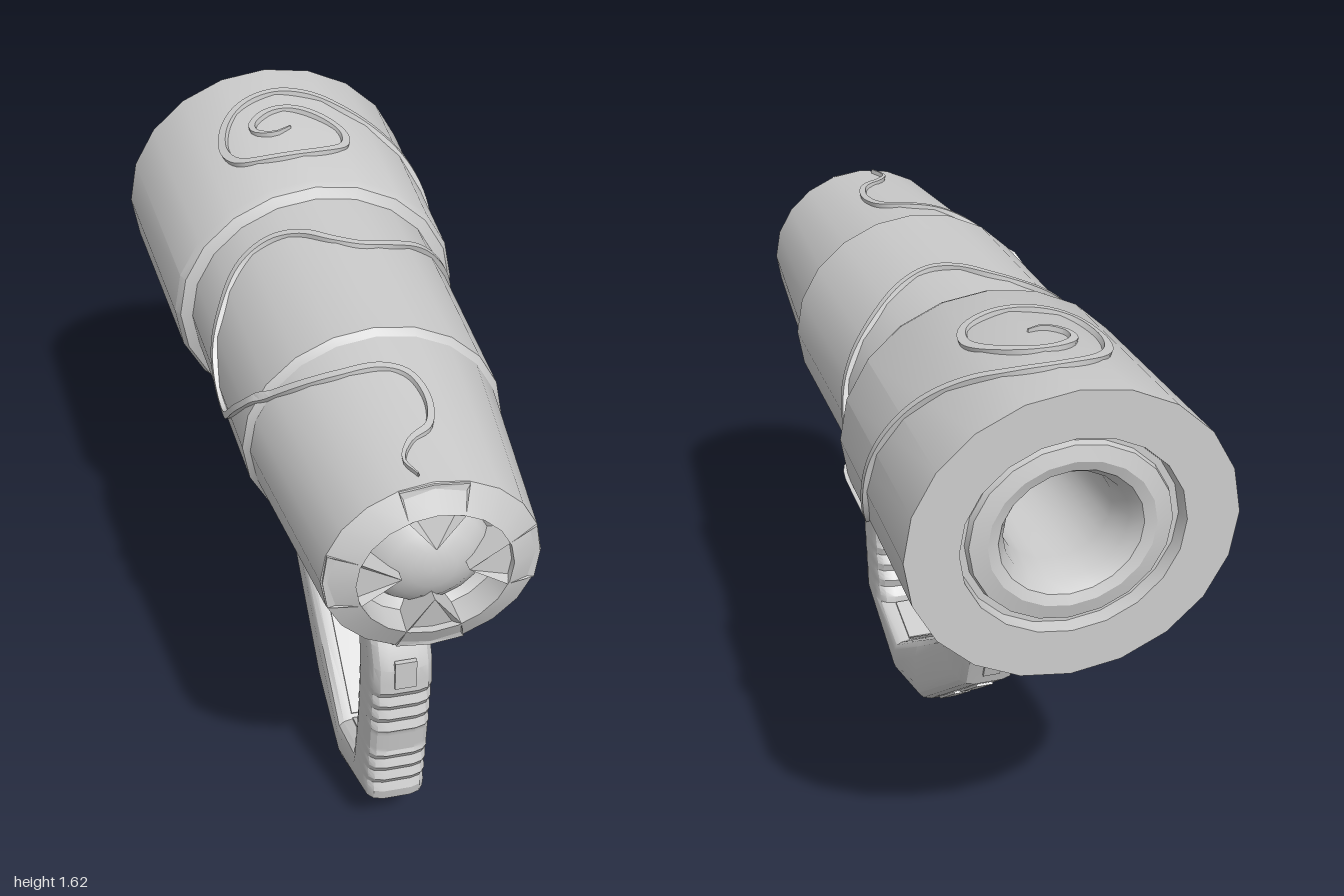
import * as THREE from 'three';
import { toCreasedNormals } from 'three/addons/utils/BufferGeometryUtils.js';

const CY = 1.228;   // height of the barrel axis
const SQUASH = 0.91; // barrel is slightly flattened vertically
const grey = new THREE.MeshStandardMaterial({ color: 0xcccccc });
const greyDouble = new THREE.MeshStandardMaterial({ color: 0xcccccc, side: THREE.DoubleSide });

// outer shell of the barrel as [radius, z]
const SHELL = [[0.435, -1], [0.412, -0.33], [0.4, -0.305], [0.368, -0.29],
  [0.355, 0.375], [0.338, 0.395], [0.28, 0.96]];

function shellRadius(z) {
  for (let i = 1; i < SHELL.length; i++) {
    const [r0, z0] = SHELL[i - 1], [r1, z1] = SHELL[i];
    if (z <= z1) return r0 + (r1 - r0) * (z - z0) / (z1 - z0);
  }
  return 0.28;
}

function add(group, name, geometry, material = grey) {
  const mesh = new THREE.Mesh(geometry, material);
  mesh.name = name;
  group.add(mesh);
  return mesh;
}

// skin a list of rings of [x, y, z] points
function skin(rings, closed) {
  const n = rings[0].length, index = [];
  for (let i = 0; i < rings.length - 1; i++)
    for (let j = 0; j < (closed ? n : n - 1); j++) {
      const a = i * n + j, b = i * n + (j + 1) % n;
      index.push(a, b, a + n, b, b + n, a + n);
    }
  const geo = new THREE.BufferGeometry();
  geo.setAttribute('position', new THREE.Float32BufferAttribute(rings.flat(2), 3));
  geo.setIndex(index);
  return toCreasedNormals(geo, 0.5);
}

// barrel: rear bore, lip, groove, stepped shell, recessed front dome
function barrelGeometry() {
  const profile = [[0, -0.5], [0.14, -0.5], [0.15, -0.86], [0.165, -0.94], [0.19, -0.98], [0.22, -0.99],
    [0.265, -0.98], [0.27, -0.96], [0.288, -0.96], [0.295, -1], ...SHELL, [0.2, 1],
    [0.193, 0.92], [0.165, 0.9], [0.15, 0.925], [0.11, 0.957], [0.06, 0.977], [0, 0.985]];
  const geo = new THREE.LatheGeometry(profile.map(([r, z]) => new THREE.Vector2(r, z)), 20);
  geo.rotateX(Math.PI / 2).scale(1, SQUASH, 1).translate(0, CY, 0);
  return toCreasedNormals(geo, 0.5);
}

// pointed tooth on the front rim, sloping down to the outer edge
function toothGeometry(turn) {
  const shape = new THREE.Shape([[0, 0.085], [0.07, 0.185], [0.088, 0.264], [0, 0.276], [-0.088, 0.264], [-0.07, 0.185]]
    .map(p => new THREE.Vector2(...p)));
  const geo = new THREE.ExtrudeGeometry(shape, { depth: 0.12, bevelEnabled: false }).translate(0, 0, 0.88);
  const p = geo.attributes.position;
  for (let i = 0; i < p.count; i++)
    if (p.getZ(i) > 0.95 && p.getY(i) > 0.25) p.setZ(i, 0.968);
  geo.rotateZ(turn).scale(1, SQUASH, 1).translate(0, CY, 0);
  geo.computeVertexNormals();
  return geo;
}

// raised vine that winds over the barrel and ends in a spiral
function vineGeometry() {
  const top = (x, z) => [Math.acos(x / shellRadius(z)), z];
  const side = (deg, z) => [deg * Math.PI / 180, z];
  const path = [
    top(-0.03, 0.93), top(-0.05, 0.87), top(-0.02, 0.81), top(0.04, 0.76), top(0.065, 0.66), top(0.045, 0.56),
    top(-0.01, 0.52), top(-0.12, 0.5), top(-0.21, 0.46), top(-0.28, 0.4), side(166, 0.3), side(186, 0.15),
    side(174, 0.03), top(-0.32, -0.06), top(-0.25, -0.14), top(-0.16, -0.16), top(-0.08, -0.13), top(0, -0.06),
    top(0.07, -0.03), top(0.15, -0.05), top(0.26, -0.12), side(9, -0.2), side(-13, -0.28), side(-23, -0.44),
    side(-20, -0.53), side(-7, -0.6), side(19, -0.65), top(0.3, -0.71), top(0.2, -0.77), top(0.1, -0.83),
    top(0, -0.85), top(-0.1, -0.82), top(-0.17, -0.74), top(-0.2, -0.61), top(-0.17, -0.52), top(-0.08, -0.48),
    top(0.05, -0.48), top(0.13, -0.52), top(0.15, -0.6), top(0.11, -0.68), top(0.03, -0.74), top(-0.04, -0.74),
    top(-0.1, -0.69), top(-0.1, -0.64), top(-0.05, -0.61), top(0, -0.63)];
  const curve = new THREE.CatmullRomCurve3(path.map(([a, z]) => new THREE.Vector3(a * 0.37, z, 0)));
  const N = 260, rings = [];
  for (let i = 0; i <= N; i++) {
    const p = curve.getPointAt(i / N), t = curve.getTangentAt(i / N);
    const w = 0.013 * Math.min(1, 0.2 + i / 12, 0.2 + (N - i) / 12);
    rings.push([[-w, -0.02], [-w * 0.8, 0.01], [w * 0.8, 0.01], [w, -0.02]].map(([s, h]) => {
      const a = (p.x - t.y * s) / 0.37, z = p.y + t.x * s, r = shellRadius(z) + h;
      return [r * Math.cos(a), CY + SQUASH * r * Math.sin(a), z];
    }));
  }
  return skin(rings, false);
}

// handle: rounded sections spanning inner and outer points [z, y]
function handleGeometry() {
  const spans = [[[0.26, 0.96], [0.6, 0.96]], [[0.33, 0.9], [0.62, 0.89]], [[0.43, 0.85], [0.68, 0.82]],
    [[0.5, 0.76], [0.72, 0.76]], [[0.53, 0.7], [0.75, 0.7]], [[0.545, 0.65], [0.75, 0.65]]];
  // finger ridges in two clusters
  for (let i = 0; i <= 32; i++) {
    const k = i / 32, y = 0.62 - 0.42 * k;
    const ridged = k < 0.4 || k > 0.6;
    const bump = ridged ? 0.007 * Math.cos(i * Math.PI / 2) : 0;
    spans.push([[0.55 - 0.06 * k * k - bump, y], [0.745 - 0.055 * k + bump, y]]);
  }
  spans.push([[0.48, 0.18], [0.69, 0.165]], [[0.32, 0.135], [0.35, 0.008]], [[0.1, 0.28], [0.08, 0.065]],
    [[-0.13, 0.43], [-0.36, 0.4]], [[-0.22, 0.7], [-0.45, 0.65]], [[-0.18, 0.87], [-0.53, 0.81]],
    [[-0.05, 0.94], [-0.62, 0.92]]);
  const soft = v => Math.sign(v) * Math.abs(v) ** 0.5;
  const rings = spans.map(([a, b]) => Array.from({ length: 16 }, (_, j) => {
    const ang = (j + 0.5) / 16 * Math.PI * 2;
    const u = 0.5 + 0.5 * soft(Math.sin(ang)) / soft(Math.sin(7 * Math.PI / 16));
    return [0.089 * soft(Math.cos(ang)), a[1] + (b[1] - a[1]) * u, a[0] + (b[0] - a[0]) * u];
  }));
  return skin(rings, true);
}

// flat side profile in [z, y], given a thickness across x
function finGeometry(points, width) {
  const shape = new THREE.Shape(points.map(p => new THREE.Vector2(...p)));
  return new THREE.ExtrudeGeometry(shape, { depth: width, bevelEnabled: false })
    .translate(0, 0, -width / 2).rotateY(-Math.PI / 2);
}

// thin plate lying along part of a segment of the handle
function addPlate(group, name, [z0, y0], [z1, y1], from, to, width) {
  const dz = z1 - z0, dy = y1 - y0, mid = (from + to) / 2;
  const plate = add(group, name, new THREE.BoxGeometry(width, 0.014, Math.hypot(dz, dy) * (to - from)));
  plate.position.set(0, y0 + dy * mid, z0 + dz * mid);
  plate.rotation.x = Math.atan2(-dy, dz);
}

export function createModel() {
  const model = new THREE.Group();
  model.name = 'cannon';

  add(model, 'barrel', barrelGeometry());
  for (let i = 0; i < 4; i++) add(model, 'frontTooth', toothGeometry(i * Math.PI / 2));
  add(model, 'vine', vineGeometry(), greyDouble);

  const handle = new THREE.Group();
  handle.name = 'handle';
  model.add(handle);
  add(handle, 'grip', handleGeometry());

  // thin tab at the front and brace at the rear
  add(handle, 'frontTab', finGeometry([[0.725, 0.965], [0.69, 0.915], [0.66, 0.86], [0.55, 0.87], [0.5, 0.92],
    [0.6, 0.9], [0.66, 0.915], [0.69, 0.965]], 0.035));
  add(handle, 'rearBrace', finGeometry([[-0.5, 0.83], [-0.53, 0.815], [-0.8, 0.858], [-0.7, 0.9], [-0.5, 0.92]], 0.11));

  // plates on the outer face
  const outer = [[0.69, 0.165], [0.35, 0.008], [0.08, 0.065], [-0.36, 0.4], [-0.45, 0.65], [-0.53, 0.81]];
  const slots = [[0, 0.15, 0.8], [1, 0.2, 0.85], [2, 0.08, 0.42], [2, 0.55, 0.9], [3, 0.15, 0.85], [4, 0.15, 0.85]];
  for (const [i, from, to] of slots) addPlate(handle, 'outerPlate', outer[i], outer[i + 1], from, to, 0.05);
  addPlate(handle, 'gripPlate', [0.75, 0.73], [0.75, 0.64], 0, 1, 0.06);
  addPlate(handle, 'gripPlate', [0.68, 0.82], [0.72, 0.76], -0.2, 0.9, 0.06);

  // rail on the inner face
  const inner = [[0.48, 0.18], [0.32, 0.135], [-0.13, 0.43], [-0.22, 0.7]];
  for (let i = 0; i < 3; i++) addPlate(handle, 'innerRail', inner[i], inner[i + 1], 0.03, 0.97, 0.08);

  return model;
}
